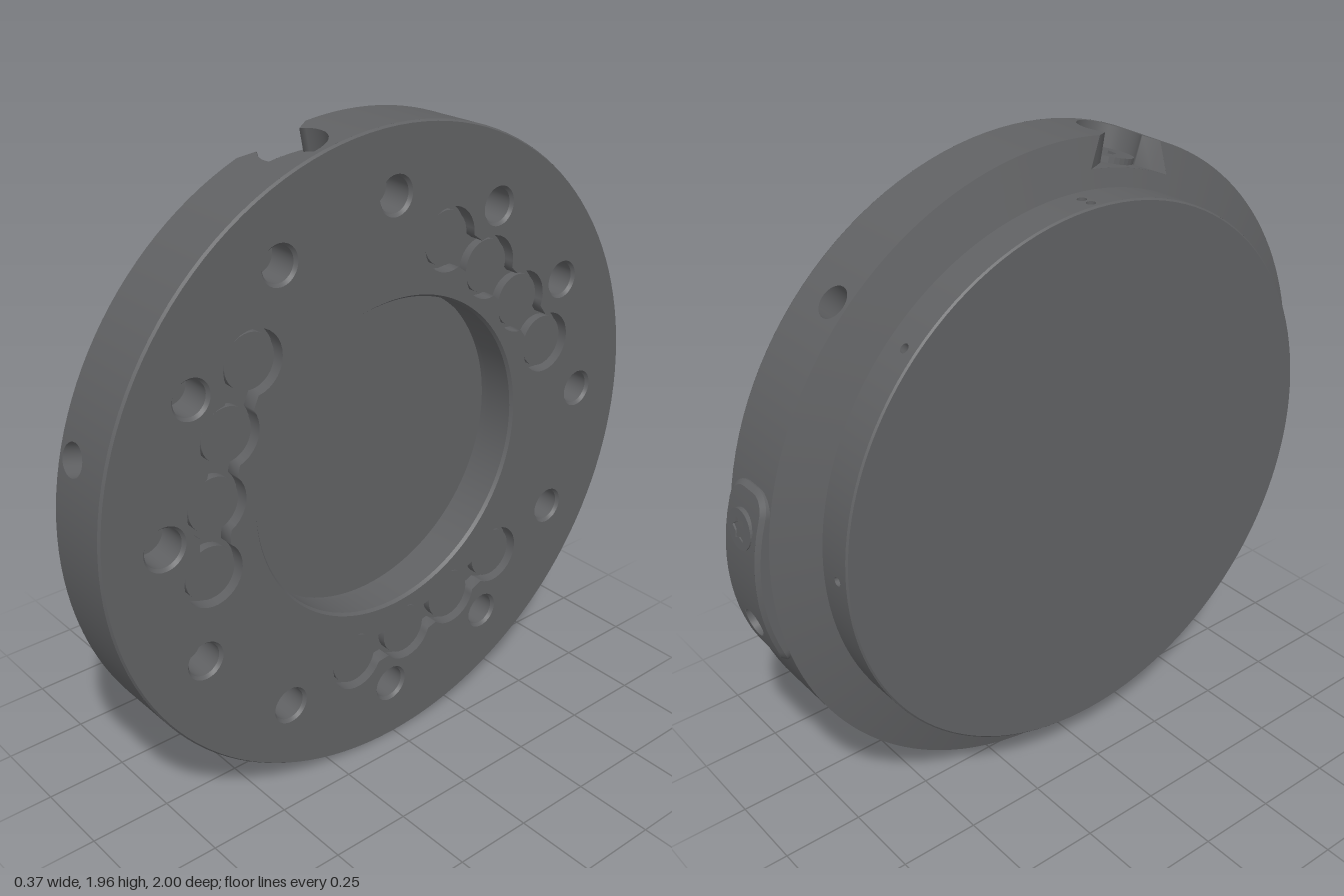
import * as THREE from 'three';
import { mergeGeometries, mergeVertices } from 'three/addons/utils/BufferGeometryUtils.js';

const V2 = (x, y) => new THREE.Vector2(x, y);
const RAD = Math.PI / 180, TAU = Math.PI * 2;
const R = 0.98, BOSS = 0.845, FRONT = 0.18, BACK = -0.185;
const START = -0.2, END = TAU - 0.2;
const material = new THREE.MeshStandardMaterial({ color: 0x606163, side: THREE.DoubleSide });

// Point on the disc: x along its axis, angle a from +z towards +y, radius r
const polar = (x, a, r) => new THREE.Vector3(x, r * Math.sin(a), r * Math.cos(a));
// Circle in unrolled (x, angle) coordinates
const ring = (x, a, rad, r = R, n = 28) =>
  Array.from({ length: n }, (_, i) => V2(x + rad * Math.cos(i / n * TAU), a + rad / r * Math.sin(i / n * TAU)));
// Circle in the flat face plane (first coordinate is -z)
const disc = (cx, cy, rad, n = 32) =>
  Array.from({ length: n }, (_, i) => V2(cx + rad * Math.cos(i / n * TAU), cy + rad * Math.sin(i / n * TAU)));

function shapeOf(points, holes = []) {
  const s = new THREE.Shape(points);
  s.holes = holes.map(h => new THREE.Path(h));
  return s;
}

// Flat (x, angle) outline with holes, divided finely and wrapped around the axis
function wrap(outline, holes, radius) {
  const flat = new THREE.ShapeGeometry(shapeOf(outline, holes));
  const p = flat.attributes.position, idx = flat.index.array, out = [], normals = [];
  const place = v => {
    out.push(polar(v.x, v.y, radius(v.x, v.y)));
    const slope = (radius(v.x + 1e-3, v.y) - radius(v.x - 1e-3, v.y)) / 2e-3;
    normals.push(...polar(-slope, v.y, 1).normalize().toArray());
  };
  const split = t => {
    let worst = 0, len = 0.06;
    for (let k = 0; k < 3; k++) {
      const d = Math.abs(t[k].y - t[(k + 1) % 3].y);
      if (d > len) { len = d; worst = k + 1; }
    }
    if (!worst) return t.forEach(place);
    const a = t[worst - 1], b = t[worst % 3], c = t[(worst + 1) % 3];
    const m = a.clone().add(b).multiplyScalar(0.5);
    split([a, m, c]);
    split([m, b, c]);
  };
  for (let i = 0; i < idx.length; i += 3) split([0, 1, 2].map(k => V2(p.getX(idx[i + k]), p.getY(idx[i + k]))));
  return new THREE.BufferGeometry().setFromPoints(out)
    .setAttribute('normal', new THREE.Float32BufferAttribute(normals, 3));
}

// Wall joining two outlines of equal length
function wall(a, b, closed = true) {
  const out = [], n = a.length;
  for (let i = 0; i < (closed ? n : n - 1); i++) {
    const j = (i + 1) % n;
    out.push(a[i], a[j], b[j], a[i], b[j], b[i]);
  }
  const g = mergeVertices(new THREE.BufferGeometry().setFromPoints(out), 1e-5);
  g.computeVertexNormals();
  return g;
}

// Surface of revolution about x, each [radius, x] step with its own crease
function turned(profile) {
  const parts = profile.slice(1).map((q, i) =>
    new THREE.LatheGeometry([V2(...profile[i]), V2(...q)], 128));
  return mergeGeometries(parts).rotateZ(-Math.PI / 2);
}

const faceShape = (points, holes, x) =>
  new THREE.ShapeGeometry(shapeOf(points, holes)).rotateY(Math.PI / 2).translate(x, 0, 0);
const onFace = (points, x) => points.map(p => new THREE.Vector3(x, p.y, -p.x));

// Blind hole sunk into the flat face
const faceWell = (points, top, depth) =>
  [wall(onFace(points, top), onFace(points, FRONT - depth)), faceShape(points, [], FRONT - depth)];

// Radial blind hole
function sideWell(points, top, bottom) {
  const at = r => points.map(p => polar(p.x, p.y, r));
  return [wall(at(top), at(bottom)), wrap(points, [], () => bottom)];
}

// Outline of a row of circles joined by narrow necks
function chain(centres, rad, neck) {
  const pts = [], order = [0, 1, 2, 3, 2, 1], gap = Math.asin(neck / rad);
  order.forEach((c, k) => {
    const me = centres[c];
    const dir = i => { const d = centres[i].clone().sub(me); return Math.atan2(d.y, d.x); };
    const from = dir(order[(k + 5) % 6]) + gap;
    let to = dir(order[(k + 1) % 6]) - gap;
    while (to <= from) to += TAU;
    const n = Math.ceil((to - from) / 0.2);
    for (let i = 0; i <= n; i++) {
      const t = from + (to - from) * i / n;
      pts.push(V2(me.x + rad * Math.cos(t), me.y + rad * Math.sin(t)));
    }
  });
  return pts;
}

export function createModel() {
  const model = new THREE.Group();
  model.name = 'roundAdapterPlate';
  const body = new THREE.Group();
  body.position.set(0, 0.982, 0.018);
  model.add(body);
  const add = (name, ...geos) => {
    const g = new THREE.Group();
    g.name = name;
    geos.flat().forEach(geo => {
      const m = new THREE.Mesh(geo, material);
      m.name = name;
      g.add(m);
    });
    body.add(g);
    return g;
  };
  // Screw head with a socket, facing outwards
  const screw = (name, x, a, r, rad, height, socket) => {
    const geo = new THREE.ExtrudeGeometry(shapeOf(disc(0, 0, rad), [socket]),
      { depth: height, bevelEnabled: false });
    const g = add(name, geo);
    g.position.copy(polar(x, a, r));
    g.rotation.x = -a;
  };

  // Front face with its holes
  const at = (r, deg) => V2(-r * Math.cos(deg * RAD), r * Math.sin(deg * RAD));
  const bolts = Array.from({ length: 12 }, (_, k) => ({ c: at(0.787, k * 30), r: k ? 0.059 : 0.066 }));
  const boltRing = (b, inset) => disc(b.c.x, b.c.y, b.r - inset);
  const rows = [15, 135, 255].map(mid =>
    [[0.655, -27], [0.623, -9], [0.623, 9], [0.655, 27]].map(([r, d]) => at(r, mid + d)));
  const pockets = rows.map(c => chain(c, 0.095, 0.05));
  add('frontFace', faceShape(disc(0, 0, 0.975, 128),
    [disc(0, 0, 0.495, 128), ...bolts.map(b => boltRing(b, 0)), ...pockets], FRONT));
  bolts.forEach(b => add('boltHole',
    wall(onFace(boltRing(b, 0), FRONT), onFace(boltRing(b, 0.008), FRONT - 0.01)),
    faceWell(boltRing(b, 0.008), FRONT - 0.01, 0.1)));
  pockets.forEach(p => add('magnetPocket', faceWell(p, FRONT, 0.045)));
  rows.flat().forEach(c => add('magnet',
    new THREE.CylinderGeometry(0.08, 0.08, 0.03, 32).rotateZ(Math.PI / 2).translate(FRONT - 0.033, c.y, -c.x)));
  add('centreRecess', turned([[0.495, FRONT], [0.488, 0.17], [0.488, 0.07], [0.498, 0.065], [0.498, 0.04], [0, 0.04]]));

  // Edge bevels and back face
  add('frontBevel', turned([[R, 0.172], [0.975, FRONT]]));
  add('backFace', turned([[0, BACK], [BOSS - 0.005, BACK], [BOSS, -0.18]]));

  // Notch outline, open to the back
  const A = 75 * RAD, FLOOR = 0.896;
  const arc = Array.from({ length: 25 }, (_, i) => {
    const t = (130 - i * 260 / 24) * RAD;
    return V2(0.06 + 0.095 * Math.cos(t), A + 0.095 / R * Math.sin(t));
  });
  const lip = [V2(-0.03, A + 0.12), ...arc, V2(-0.03, A - 0.12)];
  const notch = [V2(-0.055, A + 0.165), ...lip, V2(-0.055, A - 0.165)];
  const slope = x => BOSS + (R - BOSS) * (x + 0.07) / 0.04;
  const surface = x => Math.min(R, slope(x));

  // Rim, sloped shoulder and boss
  const sideHoles = [15, 135, 255].map(d => ring(0.03, d * RAD, 0.047));
  const padHole = ring(0.06, Math.PI + 0.17, 0.042);
  add('rim', wrap([V2(-0.03, START), V2(0.172, START), V2(0.172, END), V2(-0.03, END), ...lip],
    [...sideHoles, padHole], () => R));
  add('shoulder', wrap([V2(-0.07, START), V2(-0.03, START), lip.at(-1), notch.at(-1), notch[0], lip[0],
    V2(-0.03, END), V2(-0.07, END)], [], slope));
  sideHoles.forEach(h => add('sideHole', sideWell(h, R, 0.87)));
  const pinHoles = Array.from({ length: 8 }, (_, k) => k === 2 ? [-0.155, -0.118] : [-0.138])
    .flatMap((xs, k) => xs.map(x => ring(x, k * 45 * RAD, 0.014, BOSS, 12)));
  add('boss', wrap([V2(-0.18, START), V2(-0.07, START), V2(-0.07, END), V2(-0.18, END)], pinHoles, () => BOSS));
  pinHoles.forEach(h => add('pinHole', sideWell(h, BOSS, 0.8)));

  // Notch walls, floor and clamping screw
  add('notch', wall(notch.map(p => polar(p.x, p.y, surface(p.x))), notch.map(p => polar(p.x, p.y, FLOOR)), false),
    wrap(notch, [], () => FLOOR));
  screw('notchScrew', 0.06, A, FLOOR, 0.085, 0.018, disc(0, 0, 0.036, 6));

  // Curved pad on the rear edge, with finely stepped long sides
  const PA = Math.PI + 0.026;
  const padOutline = inset => {
    const pts = [], c = 0.065 - inset;
    [[1, 1], [-1, 1], [-1, -1], [1, -1]].forEach(([sx, sy], q) => {
      for (let i = 0; i <= 8; i++) {
        const t = (q + i / 8) * Math.PI / 2;
        pts.push(V2(0.06 + sx * 0.025 + c * Math.cos(t), PA + sy * 0.215 + c * Math.sin(t)));
      }
      if (q % 2) for (let i = 1; i < 10; i++)
        pts.push(V2(0.06 + sx * (0.025 + c), PA + sy * 0.215 * (1 - i / 5)));
      else for (let i = 1; i < 10 && q === 2; i++) pts.push(V2(0.06 + sx * 0.025 * (1 - i / 5), PA + sy * 0.215 - c));
    });
    return pts;
  };
  const padR = (x, a) => 1.018 - 0.3 * (a - PA) ** 2;
  const lift = (pts, drop) => pts.map(p => polar(p.x, p.y, padR(p.x, p.y) - drop));
  const inner = padOutline(0.014), outer = padOutline(0);
  add('rearPad', wrap(inner, [padHole], padR), wall(lift(inner, 0), lift(outer, 0.01)),
    wall(lift(outer, 0.01), outer.map(p => polar(p.x, p.y, 0.97))));
  add('padHole', sideWell(padHole, padR(0, Math.PI + 0.17), 0.93));
  const star = Array.from({ length: 12 }, (_, i) => disc(0, 0, i % 2 ? 0.024 : 0.036, 12)[i]);
  screw('padScrew', 0.06, Math.PI - 0.13, 0.99, 0.058, 0.026, star);

  return model;
}
